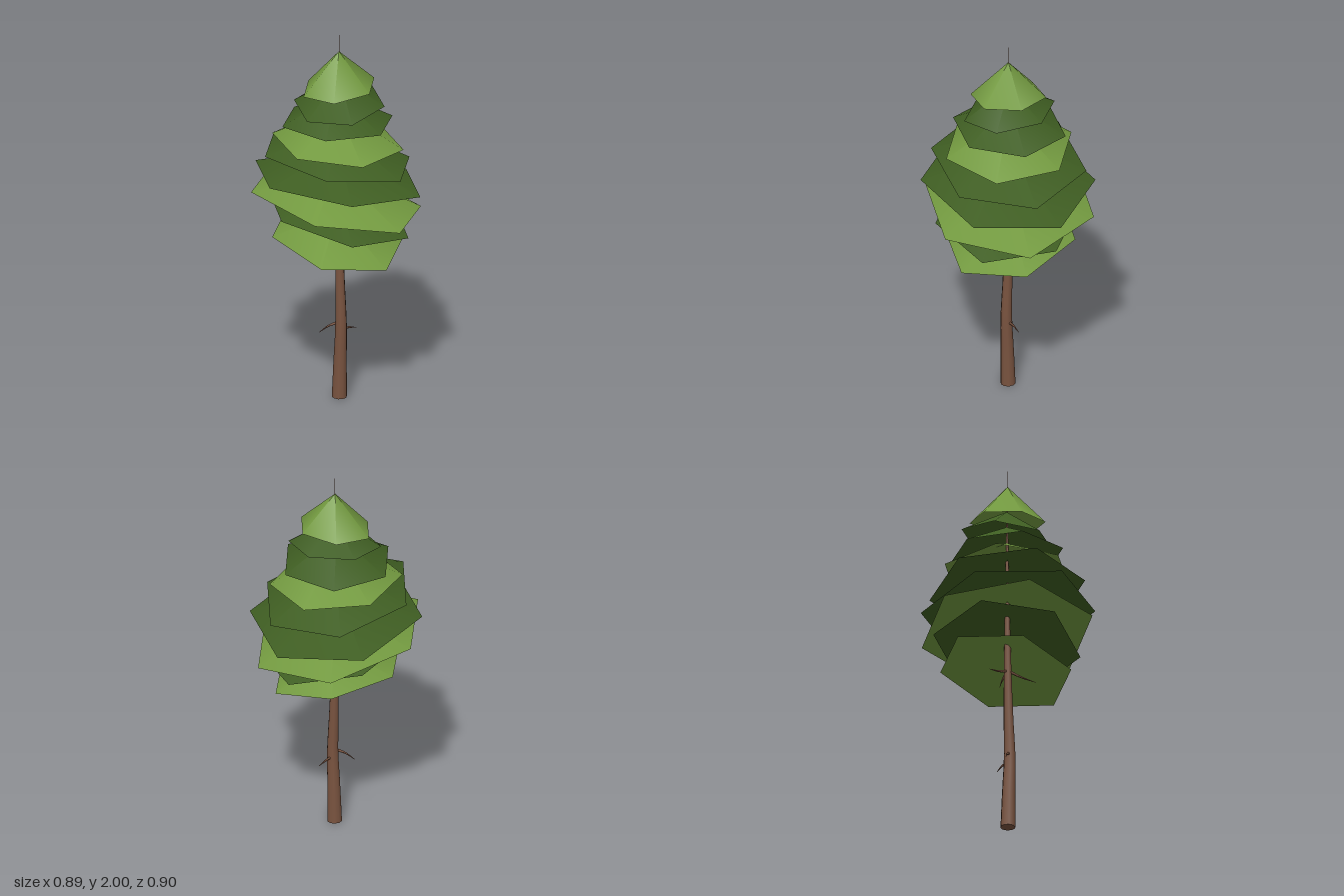
import * as THREE from 'three';

const mat = (name, color, side = THREE.FrontSide) =>
  Object.assign(new THREE.MeshStandardMaterial({ color, side }), { name });

// Round branch or trunk along a curve, its radius following the rule radiusAt(t)
function taperedTube(points, radiusAt, segments, sides) {
  const curve = new THREE.CatmullRomCurve3(points.map(p => new THREE.Vector3(...p)));
  const geo = new THREE.TubeGeometry(curve, segments, 1, sides);
  const pos = geo.attributes.position;
  const v = new THREE.Vector3();
  for (let i = 0; i < pos.count; i++) {
    const t = Math.floor(i / (sides + 1)) / segments;
    const c = curve.getPointAt(t);
    v.fromBufferAttribute(pos, i).sub(c).multiplyScalar(radiusAt(t)).add(c);
    pos.setXYZ(i, v.x, v.y, v.z);
  }
  return geo;
}

// Open six-sided cone whose rim is tilted by the slopes sx and sz
function tierGeometry({ r, h, phase, sx, sz }) {
  const geo = new THREE.ConeGeometry(r, h, 6, 1, true);
  geo.translate(0, h / 2, 0);
  geo.rotateY(THREE.MathUtils.degToRad(30 - phase));
  const pos = geo.attributes.position;
  for (let i = 0; i < pos.count; i++) {
    pos.setY(i, pos.getY(i) + sx * pos.getX(i) + sz * pos.getZ(i));
  }
  return geo;
}

export function createModel() {
  const model = new THREE.Group();
  model.name = 'pineTree';
  const bark = mat('bark', 0x7a5440);
  const light = mat('lightFoliage', 0x739a40, THREE.DoubleSide);
  const dark = mat('darkFoliage', 0x3f5e22, THREE.DoubleSide);

  const add = (name, geo, material, parent = model) => {
    const mesh = new THREE.Mesh(geo, material);
    mesh.name = name;
    parent.add(mesh);
    return mesh;
  };

  // Slightly bent trunk, thinning to a needle at the tip
  const trunkPath = [[0.005, 0, 0.015], [0.005, 0.2, 0.02], [0.005, 0.4, 0.027],
    [0.006, 0.6, 0.02], [0.006, 0.85, 0.014], [0.008, 1.4, 0.012], [0.01, 2, 0.014]];
  const trunkRadius = t => 0.001 + 0.038 * Math.pow(1 - t, 1.25);
  add('trunk', taperedTube(trunkPath, trunkRadius, 24, 10), bark);
  const base = add('trunkBase', new THREE.CircleGeometry(0.039, 10), bark);
  base.rotation.x = Math.PI / 2;
  base.position.set(0.005, 0.001, 0.015);

  // Bare twigs: start, middle, tip
  const twigs = [
    [[0.01, 0.373, 0.025], [0.06, 0.37, 0.03], [0.11, 0.355, 0.04]],
    [[0, 0.412, 0.015], [-0.03, 0.39, -0.025], [-0.06, 0.35, -0.065]],
    [[0.006, 0.875, 0.01], [0, 0.85, -0.07], [-0.02, 0.83, -0.145]],
    [[0.01, 0.875, 0.015], [0.06, 0.85, 0.03], [0.1, 0.83, 0.05]],
    [[0, 0.875, 0.015], [-0.04, 0.845, 0.08], [-0.07, 0.83, 0.14]],
  ];
  const twigGroup = new THREE.Group();
  twigGroup.name = 'twigs';
  model.add(twigGroup);
  twigs.forEach((path, i) =>
    add(`twig${i + 1}`, taperedTube(path, t => 0.009 - 0.008 * t, 6, 5), bark, twigGroup));

  // Foliage tiers from top to bottom
  const tiers = [
    { m: light, r: 0.195, h: 0.2, phase: 23.5, sx: 0.1, sz: 0.05, at: [0.005, 1.71, 0.012] },
    { m: dark, r: 0.237, h: 0.15, phase: 0, sx: 0.13, sz: -0.05, at: [0.01, 1.62, 0.01] },
    { m: dark, r: 0.295, h: 0.16, phase: 28, sx: -0.04, sz: 0.02, at: [0.003, 1.52, 0.003] },
    { m: light, r: 0.338, h: 0.18, phase: -5.5, sx: -0.05, sz: -0.06, at: [0.003, 1.41, 0.007] },
    { m: dark, r: 0.4, h: 0.17, phase: 23, sx: -0.15, sz: -0.075, at: [0, 1.325, 0.005] },
    { m: dark, r: 0.448, h: 0.165, phase: 7, sx: -0.15, sz: -0.02, at: [0, 1.205, 0.01] },
    { m: light, r: 0.45, h: 0.17, phase: 30, sx: -0.165, sz: -0.125, at: [-0.004, 1.09, 0] },
    { m: dark, r: 0.38, h: 0.165, phase: 5, sx: -0.133, sz: -0.2, at: [0.003, 1.015, 0.005] },
    { m: light, r: 0.345, h: 0.15, phase: 30, sx: -0.02, sz: -0.23, at: [0.006, 0.873, 0] },
  ];
  const foliage = new THREE.Group();
  foliage.name = 'foliage';
  model.add(foliage);
  tiers.forEach((t, i) =>
    add(`foliageTier${i + 1}`, tierGeometry(t), t.m, foliage).position.set(...t.at));

  return model;
}
